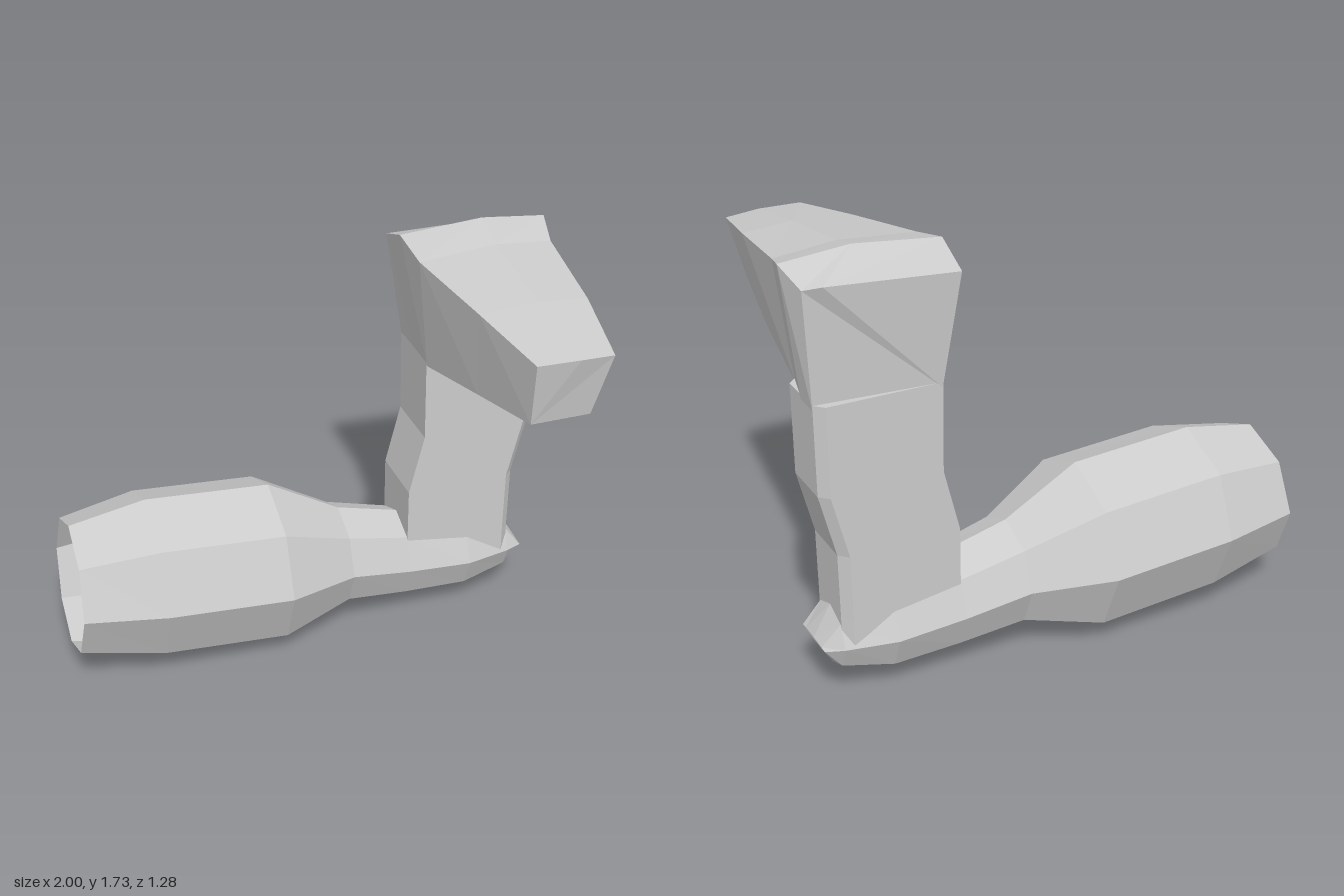
import * as THREE from 'three';

// Skin closed rings of points, counterclockwise as seen from the far end
function loft(name, rings, capStart, capEnd) {
  const pos = [];
  const tri = (a, b, c) => pos.push(...a, ...b, ...c);
  for (let r = 0; r < rings.length - 1; r++) {
    const a = rings[r], b = rings[r + 1], n = a.length;
    for (let i = 0; i < n; i++) {
      const j = (i + 1) % n;
      tri(a[i], a[j], b[j]);
      tri(a[i], b[j], b[i]);
    }
  }
  const first = rings[0], last = rings[rings.length - 1];
  for (let i = 1; i < first.length - 1; i++) {
    if (capStart) tri(first[0], first[i + 1], first[i]);
    if (capEnd) tri(last[0], last[i], last[i + 1]);
  }
  const geo = new THREE.BufferGeometry();
  geo.setAttribute('position', new THREE.Float32BufferAttribute(pos, 3));
  geo.computeVertexNormals();
  const mat = new THREE.MeshStandardMaterial({ color: 0xcccccc, flatShading: true, side: THREE.DoubleSide });
  const mesh = new THREE.Mesh(geo, mat);
  mesh.name = name;
  return mesh;
}

const AXIS_Z = -0.295;

// Octagonal ring around the x axis; lean shifts x with height
function octagon([x, y, ry, rz, lean = 0]) {
  return Array.from({ length: 8 }, (_, i) => {
    const a = (i * Math.PI) / 4, dy = ry * Math.cos(a);
    return [x + lean * dy, y + dy, AXIS_Z + rz * Math.sin(a)];
  });
}

// Six-sided ring around the y axis, chamfered on the +x side
function shaftRing([y, left, right]) {
  const c = 0.035, h = 0.138;
  return [
    [left, y, AXIS_Z + h], [right - c, y, AXIS_Z + h],
    [right, y, AXIS_Z + h - c], [right, y, AXIS_Z - h + c],
    [right - c, y, AXIS_Z - h], [left, y, AXIS_Z - h],
  ];
}

export function createModel() {
  const group = new THREE.Group();
  group.name = 'bentLimb';

  // Thick horizontal segment, open at the -x end: x, centre y, radii, lean
  group.add(loft('upperSegment', [
    [-0.985, 0.385, 0.277, 0.28, 0.055],
    [-0.66, 0.38, 0.342, 0.343],
    [-0.15, 0.348, 0.343, 0.343],
    [0.15, 0.308, 0.213, 0.213],
    [0.41, 0.262, 0.193, 0.188],
    [0.68, 0.242, 0.18, 0.182],
    [0.875, 0.237, 0.125, 0.135],
    [0.945, 0.235, 0.004, 0.105],
  ].map(octagon), false, true));

  // Upright shaft: y, left x, right x
  group.add(loft('lowerSegment', [
    [0.235, 0.41, 0.875],
    [0.36, 0.41, 0.875],
    [0.62, 0.41, 0.878],
    [0.87, 0.472, 0.94],
    [1.22, 0.468, 0.942],
  ].map(shaftRing), true, true));

  // Heel and tapering foot, from back to front
  group.add(loft('foot', [
    [[0.47, 1.2, -0.433], [0.907, 1.2, -0.433], [0.942, 1.2, -0.398],
      [0.965, 1.645, -0.415], [0.9, 1.655, -0.442], [0.412, 1.635, -0.477]],
    [[0.47, 1.2, -0.295], [0.7, 1.2, -0.295], [0.942, 1.2, -0.295],
      [1.0, 1.705, -0.295], [0.735, 1.73, -0.295], [0.4, 1.7, -0.303]],
    [[0.47, 1.195, -0.157], [0.7, 1.205, -0.157], [0.908, 1.205, -0.157],
      [0.96, 1.665, -0.14], [0.72, 1.687, -0.13], [0.41, 1.662, -0.12]],
    [[0.518, 1.258, 0.23], [0.7, 1.26, 0.23], [0.86, 1.26, 0.23],
      [0.915, 1.615, 0.28], [0.72, 1.63, 0.28], [0.485, 1.615, 0.28]],
    [[0.565, 1.313, 0.59], [0.7, 1.315, 0.59], [0.8, 1.315, 0.588],
      [0.857, 1.558, 0.625], [0.72, 1.567, 0.638], [0.553, 1.567, 0.633]],
  ], true, true));

  return group;
}
